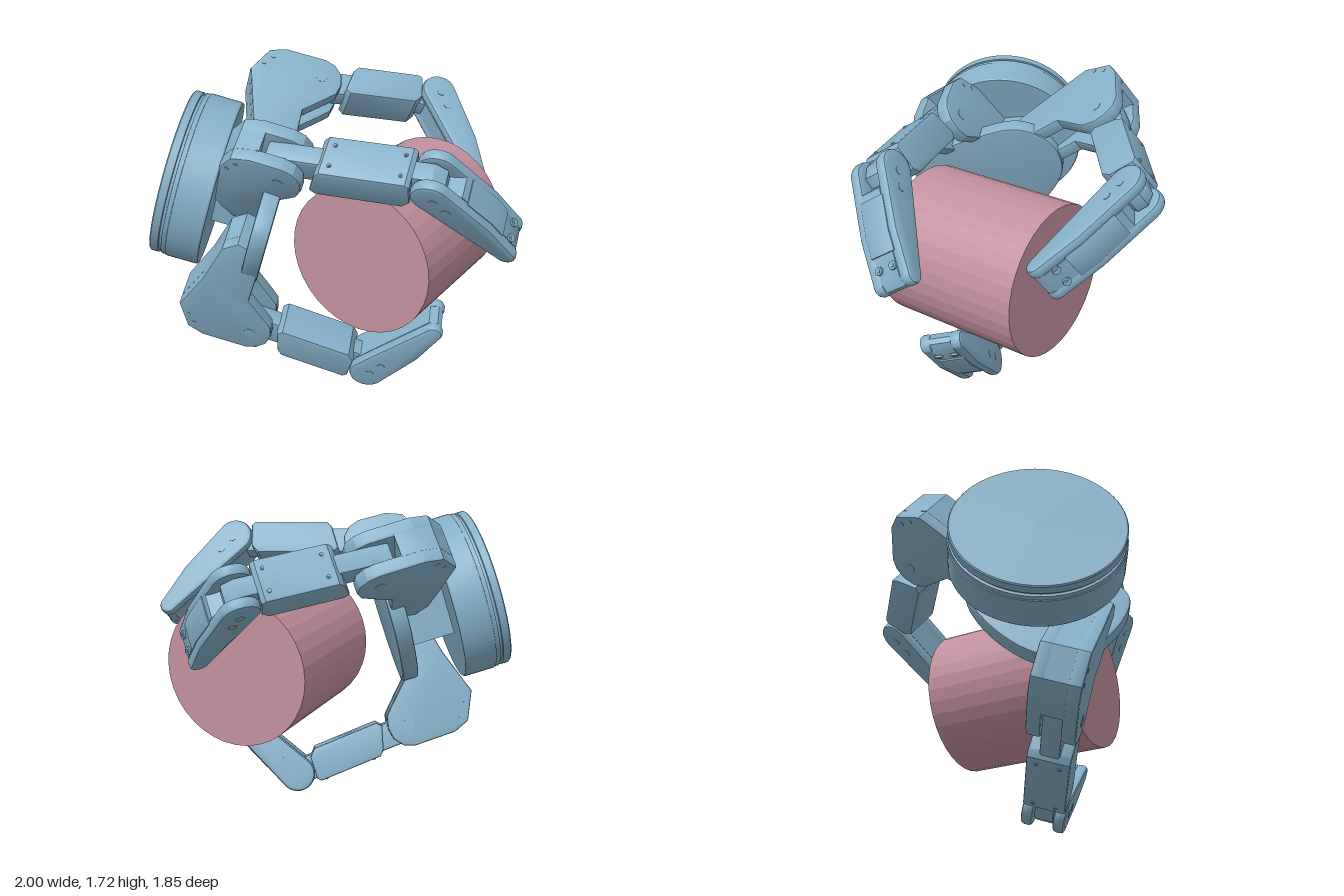
import * as THREE from 'three';
import { toCreasedNormals } from 'three/addons/utils/BufferGeometryUtils.js';

const V = (x, y, z) => new THREE.Vector3(x, y, z);
const blue = new THREE.MeshStandardMaterial({ color: 0x86b0c8 });
const pink = new THREE.MeshStandardMaterial({ color: 0xc2909f, flatShading: true });

// hand axis, running from the wrist flange towards the held cylinder
const AXIS = V(0.838, -0.281, -0.468).normalize();
const WRIST = V(-0.765, 1.23, 0.53);

// group whose x axis follows dir and whose z axis follows the hinge
function frame(name, origin, dir, hinge) {
  const z = hinge.clone().normalize();
  const x = dir.clone().addScaledVector(z, -dir.dot(z)).normalize();
  const g = new THREE.Group();
  g.name = name;
  g.quaternion.setFromRotationMatrix(new THREE.Matrix4().makeBasis(x, z.clone().cross(x), z));
  g.position.copy(origin);
  return g;
}

function add(parent, name, geo, x = 0, y = 0, z = 0) {
  const m = new THREE.Mesh(geo, blue);
  m.name = name;
  m.position.set(x, y, z);
  parent.add(m);
  return m;
}

// slab with chamfered edges, centred on z
function slab(shape, width, bevel = 0.012) {
  const geo = new THREE.ExtrudeGeometry(shape, {
    depth: width - 2 * bevel, bevelEnabled: bevel > 0, bevelThickness: bevel,
    bevelSize: bevel, bevelOffset: -bevel, bevelSegments: 2, curveSegments: 10,
  });
  geo.translate(0, 0, bevel - width / 2);
  return toCreasedNormals(geo, 0.5);
}

const poly = (pts) => new THREE.Shape(pts.map(([x, y]) => new THREE.Vector2(x, y)));

// tapered outline with a round end at the pivot and a round tip
function taper(length, r0, r1, inner) {
  const s = new THREE.Shape();
  s.absarc(0, 0, r0, Math.PI / 2, Math.PI * 1.5, false);
  s.lineTo(length * 0.55, -r0 * 0.82);
  s.lineTo(length - r1, -r1 + inner);
  s.absarc(length - r1, inner, r1, -Math.PI / 2, Math.PI / 2, false);
  s.closePath();
  return s;
}

// screw head facing out along -y
function screw(parent, x, y, z, r = 0.018) {
  add(parent, 'screw', new THREE.CylinderGeometry(r, r, 0.012, 12), x, y, z);
  add(parent, 'screwSocket', new THREE.CylinderGeometry(r * 0.5, r * 0.5, 0.018, 6), x, y, z);
}

// heel: how far the block reaches behind the pivot; leg: how far it reaches into the palm
function knuckle(K, hinge, heel, leg) {
  const g = frame('knuckle', K, AXIS, hinge);
  const back = [[-Math.min(heel, 0.28), 0.36], [-heel, 0.1], [0.07 - heel, -0.06], [0.16 - heel, -0.1]];
  const top = [[-0.02, 0.27], [-0.01, leg - 0.1], [-0.04, leg - 0.03], [-0.15, leg], [-0.22, leg - 0.06]];
  const cheek = poly([...back, [0.03, -0.11], [0.09, -0.09], [0.135, -0.04], [0.15, 0.03],
    [0.135, 0.1], [0.1, 0.14], ...top]);
  const middle = poly([...back, [-0.1, -0.105], [-0.1, 0.26], ...top.slice(1)]);
  for (const side of [-1, 1]) {
    add(g, 'knuckleCheek', slab(cheek, 0.075), 0, 0, side * 0.0875);
    for (const [x, y, r] of [[0.03, 0.02, 0.03], [0.1 - heel, -0.02, 0.012], [0.06 - heel, 0.04, 0.012]]) {
      add(g, 'knuckleBolt', new THREE.CylinderGeometry(r, r, 0.006, 16), x, y, side * 0.124).rotation.x = Math.PI / 2;
    }
  }
  add(g, 'knuckleBody', slab(middle, 0.12, 0));
  return g;
}

function middleLink(K, D, hinge) {
  const dir = D.clone().sub(K), len = dir.length();
  const g = frame('middleLink', K, dir, hinge);
  // tongue running between the two hinges
  add(g, 'linkTongue', slab(poly([[-0.05, -0.07], [0.05, -0.075], [len, -0.07], [len + 0.06, -0.03],
    [len + 0.06, 0.03], [len, 0.07], [0.05, 0.075], [-0.05, 0.07]]), 0.105));
  // chamfered housing
  const a = 0.215, b = len - 0.095;
  add(g, 'linkHousing', slab(poly([[a, -0.06], [a + 0.03, -0.09], [b - 0.02, -0.09], [b, -0.07],
    [b - 0.01, 0.06], [b - 0.05, 0.1], [a - 0.02, 0.1], [a - 0.045, 0.07]]), 0.225));
  for (const z of [-0.06, 0.06]) for (const x of [a + 0.07, b - 0.05]) screw(g, x, -0.09, z, 0.01);
  for (const z of [-0.055, 0.055]) {
    const pin = add(g, 'hingePin', new THREE.CylinderGeometry(0.04, 0.04, 0.03, 20), 0.02, 0, z);
    pin.rotation.x = Math.PI / 2;
  }
  return g;
}

function fingertip(D, T, hinge) {
  const dir = T.clone().sub(D), len = dir.length();
  const g = frame('fingertip', D, dir, hinge);
  const full = taper(len, 0.1, 0.05, 0.015);
  for (const side of [-1, 1]) {
    add(g, 'tipCheek', slab(full, 0.064, 0.02), 0, 0, side * 0.0865);
    for (const x of [0.02, 0.11]) {
      add(g, 'tipBolt', new THREE.CylinderGeometry(0.022, 0.022, 0.01, 16), x, 0, side * 0.116).rotation.x = Math.PI / 2;
    }
  }
  // core between the cheeks leaves a shallow slot for the hinge
  add(g, 'tipCore', slab(poly([[0.11, -0.092], [len * 0.55, -0.08], [len - 0.05, -0.034], [len - 0.006, 0],
    [len - 0.006, 0.03], [len - 0.04, 0.062], [0, 0.096], [0.03, 0.03]]), 0.12, 0));
  // cover plate and screws on the outer side
  add(g, 'tipCover', slab(poly([[0.15, -0.096], [len * 0.55, -0.088], [len * 0.72, -0.066],
    [len * 0.72, -0.04], [0.15, -0.06]]), 0.15, 0.004));
  for (const z of [-0.045, 0.045]) screw(g, len * 0.83, -0.053, z, 0.022);
  return g;
}

export function createModel() {
  const model = new THREE.Group();
  model.name = 'gripperHoldingCylinder';

  // held cylinder
  const held = new THREE.Mesh(new THREE.CylinderGeometry(0.405, 0.405, 0.82, 36), pink);
  held.name = 'heldCylinder';
  held.rotation.x = Math.PI / 2;
  held.position.set(0.265, 0.885, -0.08);
  model.add(held);

  // round wrist housing with flange groove
  const base = new THREE.Group();
  base.name = 'base';
  base.position.copy(WRIST);
  base.quaternion.setFromUnitVectors(V(0, 1, 0), AXIS);
  const profile = [[0, 0], [0.432, 0], [0.438, 0.006], [0.438, 0.045], [0.426, 0.047], [0.426, 0.06],
    [0.44, 0.062], [0.44, 0.085], [0.445, 0.087], [0.445, 0.25], [0.44, 0.258], [0, 0.258]];
  add(base, 'wristHousing', toCreasedNormals(new THREE.LatheGeometry(
    profile.map(([r, y]) => new THREE.Vector2(r, y)), 64), 0.5));
  model.add(base);

  // rounded palm plate across the axis, on a square column
  const palm = frame('palm', WRIST.clone().addScaledVector(AXIS, 0.58), V(0.447, -0.15, 0.882), AXIS.clone().negate());
  const outline = [[0.49, 0.06], [0.44, -0.15], [0.26, -0.37], [0.06, -0.39], [-0.2, -0.24], [-0.37, 0],
    [-0.34, 0.2], [-0.17, 0.32], [0.11, 0.28], [0.44, 0.15]];
  const curve = new THREE.CatmullRomCurve3(outline.map(([x, y]) => V(x, y, 0)), true);
  add(palm, 'palmPlate', slab(new THREE.Shape(curve.getPoints(60).slice(0, -1).map((p) => new THREE.Vector2(p.x, p.y))), 0.09), 0, 0, 0.045);
  add(palm, 'palmColumn', new THREE.BoxGeometry(0.3, 0.34, 0.32), -0.04, 0, 0.2);
  model.add(palm);

  // three fingers: knuckle pivot, tip pivot, tip end, knuckle heel, knuckle leg
  const fingers = [
    ['upperFrontFinger', V(-0.09, 1.43, 0.5), V(0.66, 1.41, 0.29), V(0.965, 1.02, -0.05), 0.29, 0.5],
    ['upperBackFinger', V(-0.47, 1.505, -0.35), V(0.07, 1.38, -0.81), V(0.5, 0.99, -0.56), 0.36, 0.6],
    ['lowerFinger', V(-0.4, 0.39, 0.43), V(0.18, 0.123, 0.08), V(0.6, 0.495, 0.01), 0.375, 0.66],
  ];
  for (const [name, K, D, T, heel, leg] of fingers) {
    const hinge = D.clone().sub(K).cross(T.clone().sub(D)).normalize();
    const finger = new THREE.Group();
    finger.name = name;
    finger.add(knuckle(K, hinge, heel, leg), middleLink(K, D, hinge), fingertip(D, T, hinge));
    model.add(finger);
  }
  return model;
}
